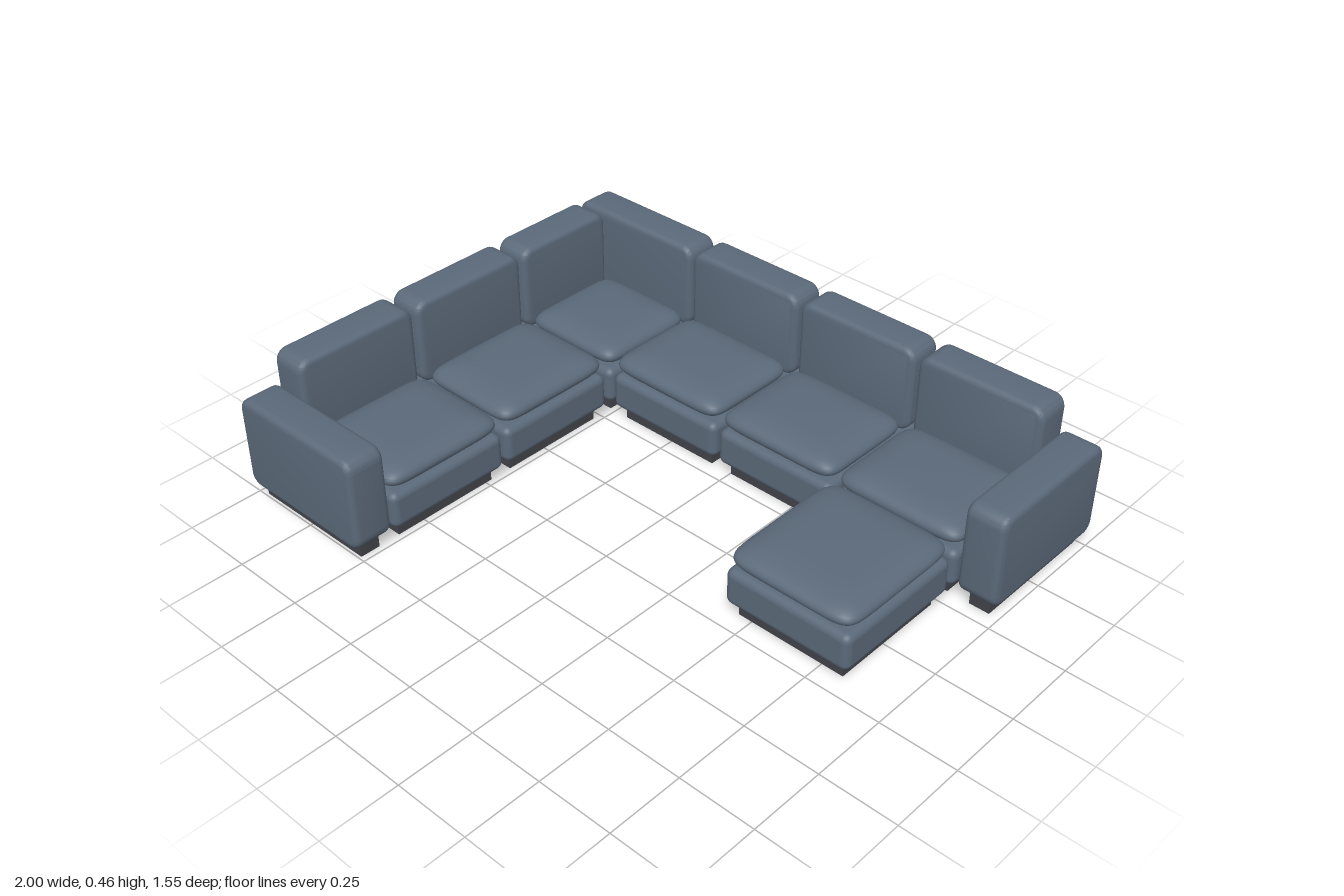
import * as THREE from 'three';
import { mergeVertices, toCreasedNormals } from 'three/addons/utils/BufferGeometryUtils.js';
import { RoundedBoxGeometry } from 'three/addons/geometries/RoundedBoxGeometry.js';

const fabric = new THREE.MeshStandardMaterial({ name: 'slate fabric', color: 0x5b6979 });
const plinthDark = new THREE.MeshStandardMaterial({ name: 'dark plinth', color: 0x404349 });

// Heights shared by every module
const FOOT = 0.045, SEAT = 0.17, ARM = 0.36, BACK = 0.46;

function add(parent, name, geometry, material, x, y, z) {
  const mesh = new THREE.Mesh(geometry, material);
  mesh.name = name;
  mesh.position.set(x, y, z);
  parent.add(mesh);
  return mesh;
}

// Upright slab: broad face with generous corners, softly rounded edges.
// Areas are given as [x0, x1, z0, z1].
function slab(parent, name, [x0, x1, z0, z1], y0, y1) {
  const w = x1 - x0, d = z1 - z0, h = y1 - y0;
  const long = Math.max(w, d), thick = Math.min(w, d);
  const r = 0.042, bevel = 0.02, a = long / 2, b = h / 2;
  const s = new THREE.Shape();
  s.absarc(a - r, b - r, r, 0, Math.PI / 2);
  s.absarc(-a + r, b - r, r, Math.PI / 2, Math.PI);
  s.absarc(-a + r, -b + r, r, Math.PI, Math.PI * 1.5);
  s.absarc(a - r, -b + r, r, Math.PI * 1.5, Math.PI * 2);
  const g = new THREE.ExtrudeGeometry(s, {
    depth: thick - 2 * bevel, curveSegments: 6,
    bevelSize: bevel, bevelThickness: bevel, bevelOffset: -bevel, bevelSegments: 4,
  });
  g.translate(0, 0, bevel - thick / 2);
  if (d > w) g.rotateY(Math.PI / 2);
  add(parent, name, toCreasedNormals(g, 0.7), fabric, (x0 + x1) / 2, (y0 + y1) / 2, (z0 + z1) / 2);
}

// Puffy seat cushion: a lens profile swept around a squarish outline
function cushion(parent, [x0, x1, z0, z1]) {
  const steps = 20, profile = [];
  for (let i = 0; i <= steps; i++) {
    const t = -Math.PI / 2 + (Math.PI * i) / steps;
    const r = i % steps === 0 ? 0 : Math.sqrt(Math.cos(t));
    profile.push(new THREE.Vector2(r, 0.043 * Math.sin(t)));
  }
  let g = new THREE.LatheGeometry(profile, 72);
  const p = g.attributes.position;
  const square = (v) => Math.sign(v) * Math.pow(Math.abs(v), 0.24);
  for (let i = 0; i < p.count; i++) {
    const x = p.getX(i), z = p.getZ(i), r = Math.hypot(x, z);
    if (r < 1e-6) continue;
    p.setX(i, r * square(Math.round(x / r * 1e6) / 1e6) * (x1 - x0) / 2);
    p.setZ(i, r * square(Math.round(z / r * 1e6) / 1e6) * (z1 - z0) / 2);
  }
  g.deleteAttribute('uv');
  g.deleteAttribute('normal');
  g = mergeVertices(g, 1e-5);
  g.computeVertexNormals();
  add(parent, 'seatCushion', g, fabric, (x0 + x1) / 2, 0.207, (z0 + z1) / 2);
}

// Recessed plinth below a module
function plinth(parent, [x0, x1, z0, z1]) {
  const g = new THREE.BoxGeometry(x1 - x0 - 0.064, FOOT + 0.01, z1 - z0 - 0.064);
  add(parent, 'plinth', g, plinthDark, (x0 + x1) / 2, (FOOT + 0.01) / 2, (z0 + z1) / 2);
}

// Seat module: plinth, upholstered base, cushion and any backrests
function seat(root, name, area, cushionArea, backs = []) {
  const [x0, x1, z0, z1] = area;
  const group = new THREE.Group();
  group.name = name;
  plinth(group, area);
  const base = new RoundedBoxGeometry(x1 - x0, SEAT - FOOT, z1 - z0, 4, 0.025);
  add(group, 'seatBase', base, fabric, (x0 + x1) / 2, (SEAT + FOOT) / 2, (z0 + z1) / 2);
  cushion(group, cushionArea);
  backs.forEach((b) => slab(group, 'backrest', b, SEAT - 0.005, BACK));
  root.add(group);
}

function arm(root, name, area) {
  const group = new THREE.Group();
  group.name = name;
  plinth(group, area);
  slab(group, 'armrest', area, FOOT, ARM);
  root.add(group);
}

export function createModel() {
  const root = new THREE.Group();
  root.name = 'sectionalSofa';

  // Corner module with two backrests
  seat(root, 'cornerSeat', [-1, -0.49, -0.775, -0.27], [-0.862, -0.49, -0.637, -0.27],
    [[-1, -0.49, -0.775, -0.647], [-1, -0.872, -0.645, -0.27]]);

  // Rear row
  for (const x of [-0.48, -0.03, 0.42]) {
    seat(root, 'rearSeat', [x, x + 0.435, -0.775, -0.27], [x, x + 0.435, -0.637, -0.27],
      [[x, x + 0.435, -0.775, -0.647]]);
  }

  // Side row
  for (const z of [-0.255, 0.195]) {
    seat(root, 'sideSeat', [-1, -0.49, z, z + 0.435], [-0.862, -0.49, z, z + 0.435],
      [[-1, -0.872, z, z + 0.435]]);
  }

  // Ottoman
  const ottoman = [0.42, 0.855, -0.255, 0.21];
  seat(root, 'ottoman', ottoman, ottoman);

  // End arms
  arm(root, 'leftArm', [0.866, 0.998, -0.772, -0.27]);
  arm(root, 'frontArm', [-1, -0.49, 0.641, 0.773]);
  return root;
}
